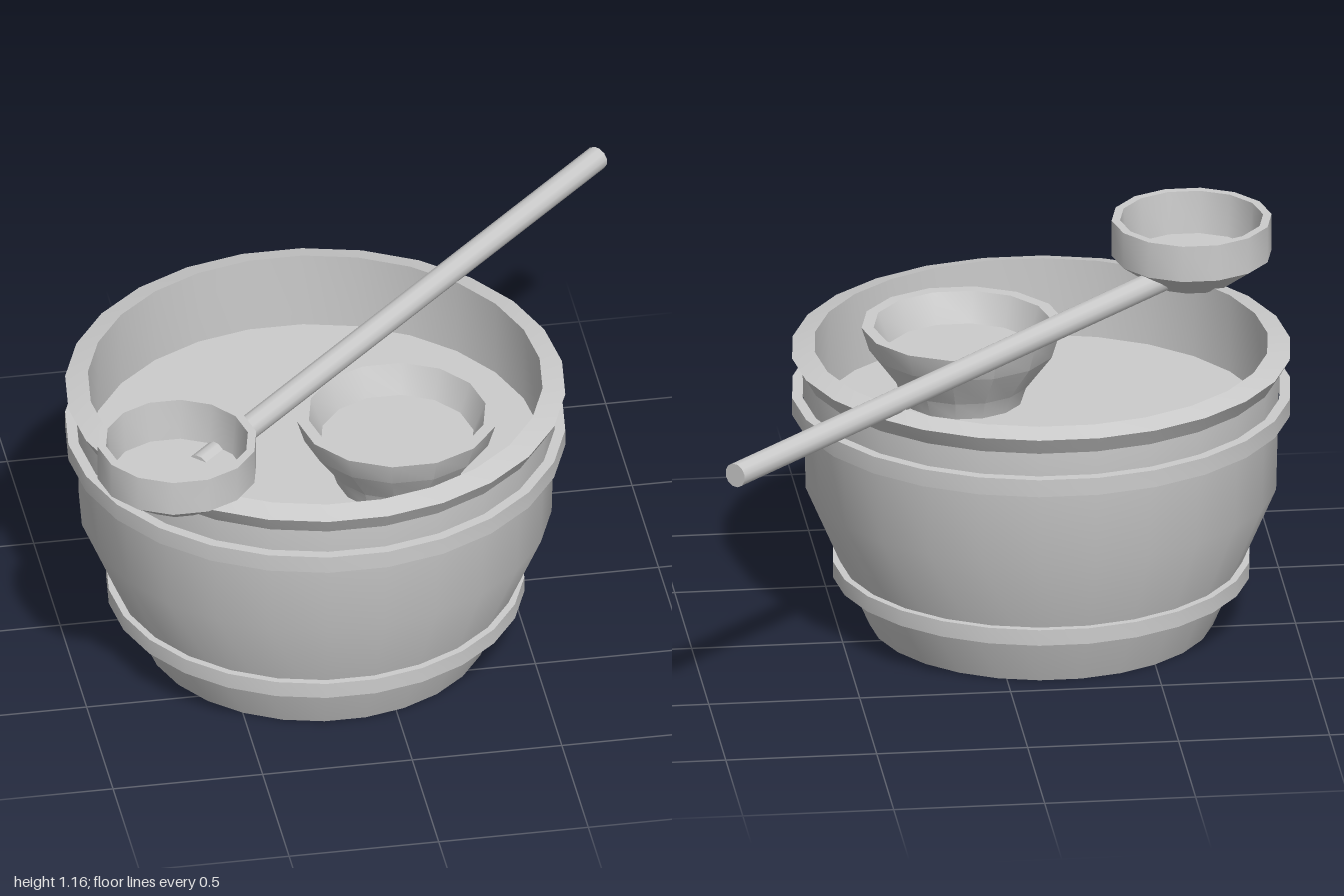
import * as THREE from 'three';
import { toCreasedNormals } from 'three/addons/utils/BufferGeometryUtils.js';

const material = new THREE.MeshStandardMaterial({ color: 0xcccccc, side: THREE.DoubleSide });

// Turned part from [radius, height] pairs, with crisp profile edges
function turned(name, profile, sides, x = 0, z = 0) {
  const points = profile.map(([r, y]) => new THREE.Vector2(r, y));
  const geometry = toCreasedNormals(new THREE.LatheGeometry(points, sides).rotateY(Math.PI / 2), 0.5);
  const mesh = new THREE.Mesh(geometry, material);
  mesh.name = name;
  mesh.position.set(x, 0, z);
  return mesh;
}

export function createModel() {
  const model = new THREE.Group();
  model.name = 'waterTubWithLadle';

  const tub = new THREE.Group();
  tub.name = 'tub';
  tub.position.set(-0.175, 0, 0.155);
  model.add(tub);

  // Open-bottomed tub shell with a flared, sloping rim
  tub.add(turned('tubWall', [
    [0.57, 0], [0.78, 0.49], [0.79, 0.89], [0.825, 0.95], [0.75, 0.97], [0.75, 0.7],
  ], 26));

  // Liquid surface
  tub.add(turned('liquid', [[0.75, 0.7], [0, 0.7]], 26));

  // Two hoops around the wall
  for (const [name, inner, outer, low, high] of [
    ['lowerHoop', 0.655, 0.69, 0.17, 0.225],
    ['upperHoop', 0.79, 0.825, 0.75, 0.81],
  ]) {
    tub.add(turned(name, [[inner, low], [outer, low], [outer, high], [inner, high], [inner, low]], 26));
  }

  // Bowl standing in the liquid
  model.add(turned('bowl', [
    [0, 0.7], [0.2, 0.7], [0.22, 0.76], [0.31, 0.88], [0.335, 0.96],
    [0.295, 0.96], [0.255, 0.86], [0, 0.86],
  ], 14, 0.06, 0.375));

  // Ladle cup resting over the rim
  model.add(turned('ladleCup', [
    [0, 0.95], [0.14, 0.95], [0.265, 1.04], [0.265, 1.165],
    [0.237, 1.165], [0.225, 1.02], [0, 1.02],
  ], 14, -0.737, 0.72));

  // Long ladle handle lying across the tub
  const start = new THREE.Vector3(-0.65, 0.993, 0.635);
  const end = new THREE.Vector3(0.965, 0.993, -0.965);
  const along = end.clone().sub(start);
  const handle = new THREE.Mesh(new THREE.CylinderGeometry(0.041, 0.041, along.length(), 12), material);
  handle.name = 'ladleHandle';
  handle.position.copy(start).add(end).multiplyScalar(0.5);
  handle.quaternion.setFromUnitVectors(new THREE.Vector3(0, 1, 0), along.normalize());
  model.add(handle);

  return model;
}
